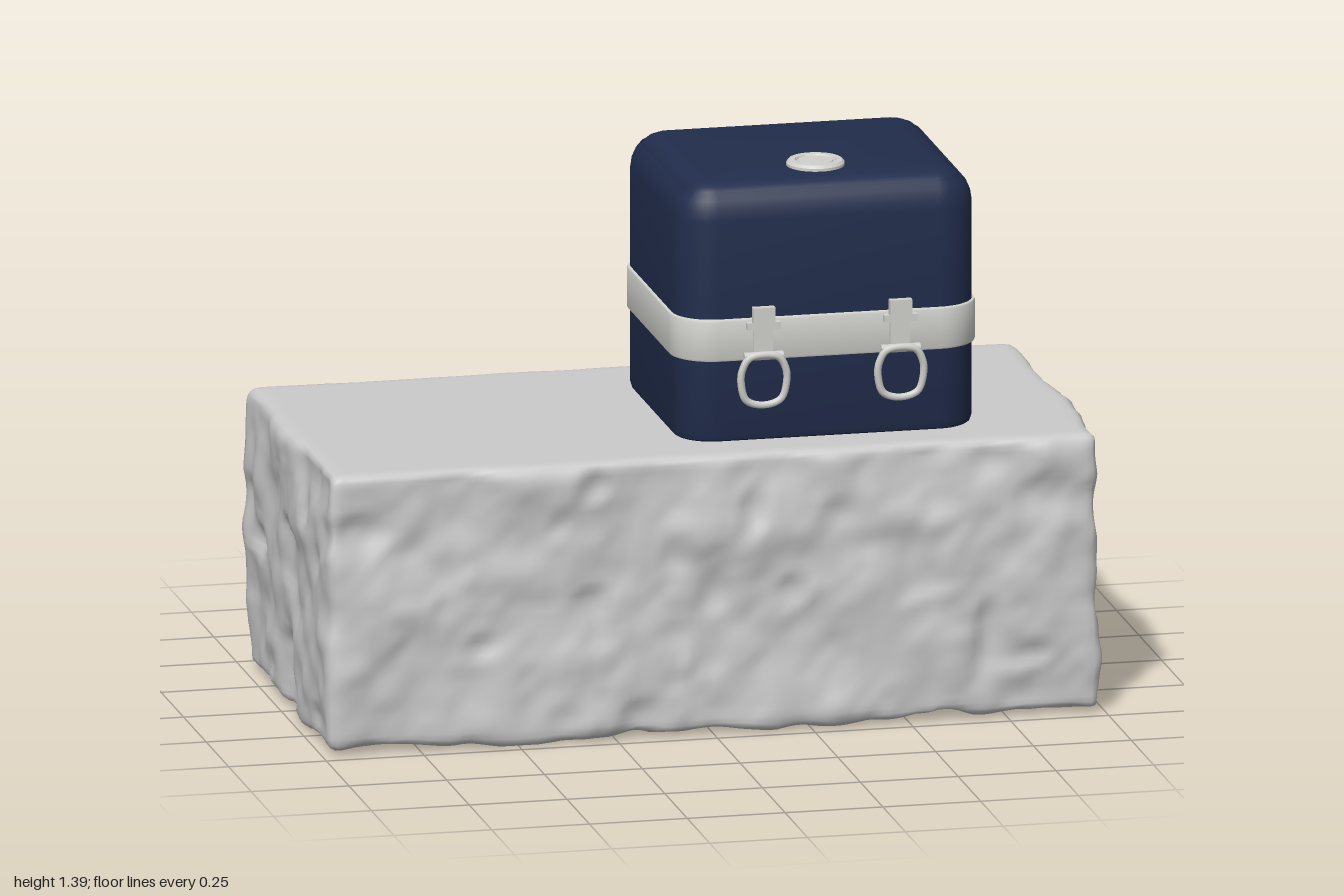
import * as THREE from 'three';
import { mergeVertices, toCreasedNormals } from 'three/addons/utils/BufferGeometryUtils.js';

const material = (name, color) => Object.assign(new THREE.MeshStandardMaterial({ color }), { name });

// Box centre and half sizes in plan
const CX = 0.325, CZ = 0.0125, HX = 0.382, HZ = 0.327;

// Seeded lattice noise, -1 to 1
function hash(x, y, z) {
  let h = Math.imul(x, 374761393) ^ Math.imul(y, 668265263) ^ Math.imul(z, 1274126177);
  h = Math.imul(h ^ (h >>> 13), 1103515245);
  return ((h ^ (h >>> 16)) >>> 0) / 2147483648 - 1;
}
function noise(x, y, z) {
  const i = Math.floor(x), j = Math.floor(y), k = Math.floor(z);
  const s = (t) => t * t * (3 - 2 * t);
  const u = s(x - i), v = s(y - j), w = s(z - k);
  let sum = 0;
  for (let c = 0; c < 8; c++) {
    const a = c & 1, b = (c >> 1) & 1, d = c >> 2;
    sum += hash(i + a, j + b, k + d) * (a ? u : 1 - u) * (b ? v : 1 - v) * (d ? w : 1 - w);
  }
  return sum;
}

// Rough block: rounded edges, weathered sides, smooth sawn top
function stoneGeometry() {
  const half = new THREE.Vector3(0.985, 0.355, 0.472), r = 0.03;
  let geo = new THREE.BoxGeometry(half.x * 2, half.y * 2, half.z * 2, 110, 40, 54);
  geo.deleteAttribute('uv');
  geo.deleteAttribute('normal');
  geo = mergeVertices(geo, 1e-4);
  const pos = geo.attributes.position;
  const p = new THREE.Vector3(), core = new THREE.Vector3(), n = new THREE.Vector3();
  const limit = half.clone().subScalar(r);
  for (let i = 0; i < pos.count; i++) {
    p.fromBufferAttribute(pos, i);
    core.copy(p).clamp(limit.clone().negate(), limit);
    n.copy(p).sub(core).normalize();
    const at = (f, o) => noise(p.x * f + o, p.y * f + o, p.z * f + o);
    const pit = Math.max(0, at(10, 31) - 0.25);
    const bump = 0.014 * at(6, 7) + 0.008 * at(13, 19) + 0.003 * at(27, 3) - 0.03 * pit;
    const topness = Math.max(0, n.y);
    const d = r + bump * (1 - topness * topness);
    p.copy(core).addScaledVector(n, d);
    pos.setXYZ(i, p.x, Math.max(0, p.y + 0.363), p.z);
  }
  geo.computeVertexNormals();
  return geo;
}

// Rounded rectangle swept upward through [inset, y] pairs, capped at both ends
function roundedLoft(hx, hz, radius, profile) {
  const verts = [], index = [], steps = 10, count = 4 * (steps + 1);
  for (const [inset, y] of profile) {
    const r = Math.max(radius - inset, 0.005);
    for (let c = 0; c < 4; c++) {
      const sx = c === 0 || c === 3 ? 1 : -1, sz = c < 2 ? 1 : -1;
      for (let s = 0; s <= steps; s++) {
        const a = (c + s / steps) * Math.PI / 2;
        verts.push(sx * (hx - inset - r) + r * Math.cos(a), y, sz * (hz - inset - r) + r * Math.sin(a));
      }
    }
  }
  const last = profile.length - 1;
  verts.push(0, profile[0][1], 0, 0, profile[last][1], 0);
  const bottom = count * profile.length;
  for (let j = 0; j < count; j++) {
    const k = (j + 1) % count;
    for (let i = 0; i < last; i++) {
      const a = i * count + j, b = i * count + k;
      index.push(a, a + count, b, b, a + count, b + count);
    }
    index.push(bottom, j, k, bottom + 1, last * count + k, last * count + j);
  }
  const geo = new THREE.BufferGeometry();
  geo.setAttribute('position', new THREE.Float32BufferAttribute(verts, 3));
  geo.setIndex(index);
  return toCreasedNormals(geo, 0.7);
}

function add(parent, name, geo, mat, x = 0, y = 0, z = 0) {
  const mesh = new THREE.Mesh(geo, mat);
  mesh.name = name;
  mesh.position.set(x, y, z);
  parent.add(mesh);
  return mesh;
}

// Wire clasp hooked over a small catch
function createLatch(metal) {
  const latch = new THREE.Group();
  latch.name = 'latch';
  add(latch, 'catchPlate', new THREE.BoxGeometry(0.05, 0.12, 0.012), metal, 0, 0.995, 0.004);
  add(latch, 'catchHook', new THREE.BoxGeometry(0.056, 0.04, 0.02), metal, 0, 1.046, 0.014);
  add(latch, 'catchBar', new THREE.BoxGeometry(0.085, 0.018, 0.02), metal, 0, 1.018, 0.01);
  const pivot = add(latch, 'pivot', new THREE.CylinderGeometry(0.011, 0.011, 0.1, 12), metal, 0, 0.94, 0.012);
  pivot.rotation.z = Math.PI / 2;
  const right = [[0.036, 0.938], [0.056, 0.905], [0.058, 0.87], [0.046, 0.83], [0.02, 0.816]];
  const outline = [...right, ...right.map(([x, y]) => [-x, y]).reverse()];
  const points = outline.map(([x, y]) => new THREE.Vector3(x, y, 0.016 + (y - 0.87) * 0.06));
  const curve = new THREE.CatmullRomCurve3(points, true);
  add(latch, 'wireLoop', new THREE.TubeGeometry(curve, 64, 0.0095, 8, true), metal);
  return latch;
}

export function createModel() {
  const stone = material('stone', 0xcbcbcb);
  const navy = material('navy enamel', 0x212d4c);
  const metal = material('pale metal', 0xd0d0cc);

  const model = new THREE.Group();
  model.name = 'lunchBoxOnStone';
  add(model, 'stoneBlock', stoneGeometry(), stone);

  const box = new THREE.Group();
  box.name = 'box';
  box.position.set(CX, 0, CZ);
  model.add(box);

  // Body with a shallow groove around the lid panel
  add(box, 'body', roundedLoft(HX, HZ, 0.1, [
    [0.016, 0.715], [0.005, 0.722], [0, 0.738], [0, 1.285], [0.004, 1.312], [0.014, 1.335],
    [0.027, 1.351], [0.03, 1.346], [0.034, 1.354], [0.045, 1.364], [0.065, 1.372], [0.09, 1.376],
  ]), navy);

  // Band around the seam
  add(box, 'band', roundedLoft(HX + 0.008, HZ + 0.008, 0.108, [
    [0.008, 0.926], [0.002, 0.928], [0, 0.933], [0, 1.028], [0.002, 1.033], [0.008, 1.035],
  ]), metal);

  // Round vent on the lid
  const vent = [[0, 0], [0.073, 0], [0.073, 0.008], [0.067, 0.015], [0.052, 0.015], [0.048, 0.009],
    [0.045, 0.009], [0.042, 0.013], [0, 0.013]].map(([x, y]) => new THREE.Vector2(x, y));
  add(box, 'ventButton', toCreasedNormals(new THREE.LatheGeometry(vent, 40), 0.5), metal, 0, 1.375, 0.1625);

  // Hinge at the back
  const hinge = add(box, 'hinge', new THREE.CylinderGeometry(0.01, 0.01, 0.51, 12), metal, 0, 1.03, -HZ - 0.009);
  hinge.rotation.z = Math.PI / 2;

  for (const x of [-0.175, 0.175]) {
    const latch = createLatch(metal);
    latch.position.set(x, 0, HZ + 0.007);
    box.add(latch);
  }
  return model;
}
